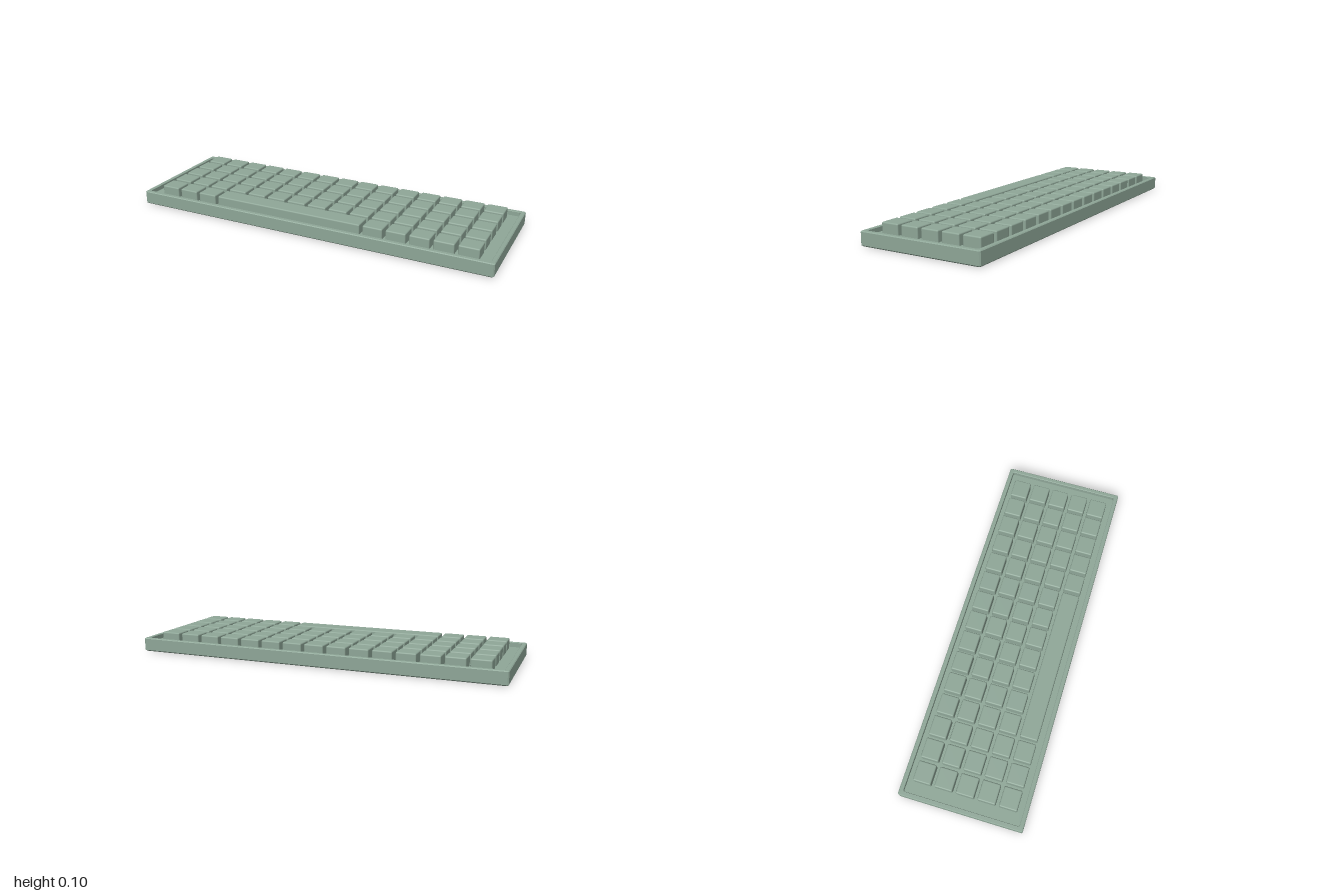
import * as THREE from 'three';
import { RoundedBoxGeometry } from 'three/addons/geometries/RoundedBoxGeometry.js';

const HALF_X = 1, HALF_Z = 0.33;
const COLS = 15, ROWS = 5, PITCH_X = 0.123, PITCH_Z = 0.114;
const KEY_W = 0.105, KEY_D = 0.095, KEY_BASE = 0.042, KEY_TOP = 0.104;

// Rectangle with small chamfered corners, inset from the case outline
function ring(inset, y) {
  const x = HALF_X - inset, z = HALF_Z - inset, c = 0.006;
  return [
    [x, z - c], [x - c, z], [c - x, z], [-x, z - c],
    [-x, c - z], [c - x, -z], [x - c, -z], [x, c - z],
  ].map(([px, pz]) => [px, y, pz]);
}

// Shallow tray: underside, outer wall, rim, inner wall and recessed deck
function caseGeometry() {
  const profile = [[0.006, 0], [0, 0.006], [0, 0.069], [0.004, 0.073], [0.021, 0.073], [0.023, 0.071], [0.023, 0.048]];
  const rings = profile.map(([inset, y]) => ring(inset, y));
  const pos = [];
  const tri = (...points) => points.forEach((p) => pos.push(...p));
  const last = rings.length - 1;
  for (let j = 0; j < 8; j++) {
    const k = (j + 1) % 8;
    for (let i = 0; i < last; i++) {
      const a = rings[i][j], b = rings[i][k], c = rings[i + 1][k], d = rings[i + 1][j];
      tri(a, d, c);
      tri(a, c, b);
    }
    tri([0, profile[0][1], 0], rings[0][j], rings[0][k]);
    tri([0, profile[last][1], 0], rings[last][k], rings[last][j]);
  }
  const geometry = new THREE.BufferGeometry();
  geometry.setAttribute('position', new THREE.Float32BufferAttribute(pos, 3));
  geometry.computeVertexNormals();
  return geometry;
}

export function createModel() {
  const sage = new THREE.MeshStandardMaterial({ color: 0x8fa798 });
  sage.name = 'sage green';

  const keyboard = new THREE.Group();
  keyboard.name = 'keyboard';

  const tray = new THREE.Mesh(caseGeometry(), sage);
  tray.name = 'case';
  keyboard.add(tray);

  const keys = new THREE.Group();
  keys.name = 'keys';
  keyboard.add(keys);

  const height = KEY_TOP - KEY_BASE;
  const keyShape = (span) =>
    new RoundedBoxGeometry(KEY_W + (span - 1) * PITCH_X, height, KEY_D, 2, 0.007);
  const single = keyShape(1);
  const wide = keyShape(7);

  function addKey(name, geometry, col, row) {
    const key = new THREE.Mesh(geometry, sage);
    key.name = name;
    key.position.set((col - (COLS - 1) / 2) * PITCH_X, KEY_BASE + height / 2, (row - (ROWS - 1) / 2) * PITCH_Z);
    keys.add(key);
  }

  // Full grid, with a seven-unit space bar in the front row
  for (let row = 0; row < ROWS; row++) {
    for (let col = 0; col < COLS; col++) {
      if (row === ROWS - 1 && col >= 3 && col <= 9) continue;
      addKey('key', single, col, row);
    }
  }
  addKey('spaceBar', wide, 6, ROWS - 1);

  return keyboard;
}
